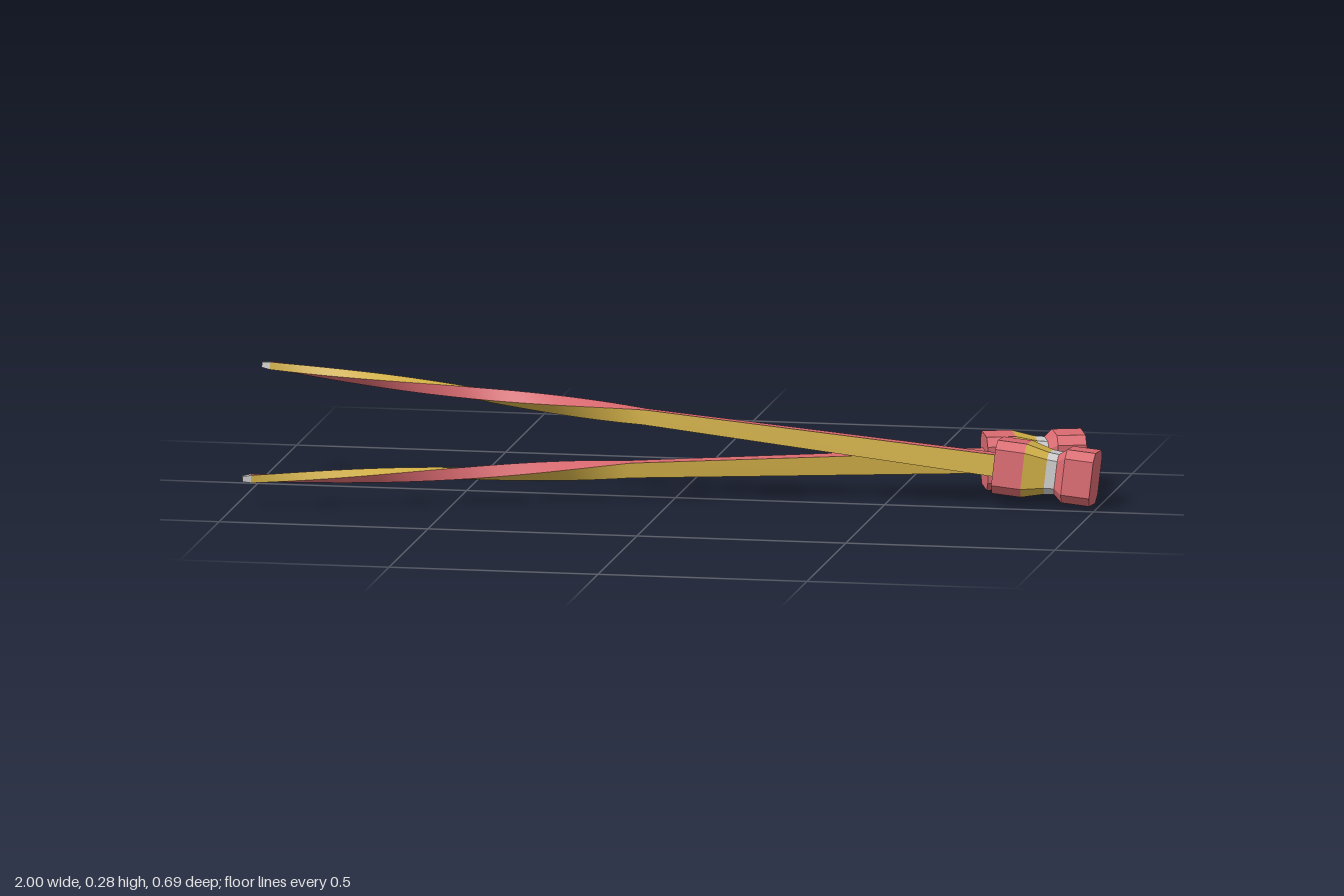
import * as THREE from 'three';
import { toCreasedNormals } from 'three/addons/utils/BufferGeometryUtils.js';

const pink = new THREE.MeshStandardMaterial({ color: 0xd96a70 });
const gold = new THREE.MeshStandardMaterial({ color: 0xd2b048 });
const grey = new THREE.MeshStandardMaterial({ color: 0xcccccc });

// Cross-sections are [y, z] corners, counter-clockwise seen from +x
const square = (h) => [[h, -h], [h, h], [-h, h], [-h, -h]];
const chamfered = (h) => {
  const c = h * 0.68;
  return [[h, -c], [h, c], [c, h], [-c, h], [-h, c], [-h, -c], [-c, -h], [c, -h]];
};

// Place a cross-section at x, turned about the stick's axis
const ring = (section, x, turn = 0) => section.map(([y, z]) => [
  x,
  y * Math.cos(turn) - z * Math.sin(turn),
  y * Math.sin(turn) + z * Math.cos(turn),
]);

// Skin consecutive rings; "sides" picks which sides to build
function loft(name, rings, material, { sides = null, startCap = false, endCap = false } = {}) {
  const pos = [];
  const n = rings[0].length;
  const tri = (a, b, c) => pos.push(...a, ...b, ...c);
  for (let i = 0; i < rings.length - 1; i++) {
    for (let j = 0; j < n; j++) {
      if (sides && !sides.includes(j)) continue;
      const k = (j + 1) % n;
      tri(rings[i][j], rings[i][k], rings[i + 1][k]);
      tri(rings[i][j], rings[i + 1][k], rings[i + 1][j]);
    }
  }
  const first = rings[0], last = rings[rings.length - 1];
  for (let j = 1; j < n - 1; j++) {
    if (startCap) tri(first[0], first[j + 1], first[j]);
    if (endCap) tri(last[0], last[j], last[j + 1]);
  }
  const geo = new THREE.BufferGeometry();
  geo.setAttribute('position', new THREE.Float32BufferAttribute(pos, 3));
  geo.computeVertexNormals();
  const mesh = new THREE.Mesh(toCreasedNormals(geo, 0.35), material);
  mesh.name = name;
  return mesh;
}

// One stick lying along +x, tip at the origin
function makeStick(name, length) {
  const stick = new THREE.Group();
  stick.name = name;

  // Tapered square shaft, twisted half a turn towards the tip
  const tipLength = 0.02, shaftEnd = length - 0.22, twistEnd = 0.92;
  const shaft = [];
  const steps = 32;
  const halfAt = (x) => THREE.MathUtils.lerp(0.009, 0.026, (x - tipLength) / (shaftEnd - tipLength));
  for (let i = 0; i <= steps; i++) {
    const x = THREE.MathUtils.lerp(tipLength, twistEnd, i / steps);
    shaft.push(ring(square(halfAt(x)), x, Math.PI * (1 - i / steps)));
  }
  shaft.push(ring(square(halfAt(shaftEnd)), shaftEnd));
  stick.add(loft('shaftTopAndBottom', shaft, pink, { sides: [0, 2] }));
  stick.add(loft('shaftSides', shaft, gold, { sides: [1, 3] }));

  // Small blunt tip
  stick.add(loft('tip', [ring(square(0.006), 0, Math.PI), shaft[0]], grey, { startCap: true }));

  // Chamfered head with a waist
  const at = (fromEnd, half) => ring(chamfered(half), length - fromEnd);
  stick.add(loft('innerBlock', [at(0.235, 0.0635), at(0.165, 0.0635)], pink, { startCap: true }));
  stick.add(loft('goldBand', [at(0.165, 0.0635), at(0.112, 0.05)], gold));
  stick.add(loft('greyBand', [at(0.112, 0.05), at(0.088, 0.048)], grey));
  stick.add(loft('endBlock', [at(0.088, 0.048), at(0.068, 0.0635), at(0, 0.0635)], pink, { endCap: true }));
  return stick;
}

// Lay a stick between two points, with a roll about its axis
function placeStick(name, tip, end, roll) {
  const from = new THREE.Vector3(...tip), to = new THREE.Vector3(...end);
  const stick = makeStick(name, from.distanceTo(to));
  const xAxis = to.sub(from).normalize();
  const zAxis = new THREE.Vector3().crossVectors(xAxis, new THREE.Vector3(0, 1, 0)).normalize();
  const yAxis = new THREE.Vector3().crossVectors(zAxis, xAxis);
  stick.quaternion.setFromRotationMatrix(new THREE.Matrix4().makeBasis(xAxis, yAxis, zAxis));
  stick.position.copy(from);
  stick.rotateX(roll);
  return stick;
}

export function createModel() {
  const model = new THREE.Group();
  model.name = 'pairOfSticks';
  model.add(placeStick('lowerStick', [-0.975, 0.075, 0.335], [0.922, 0.075, -0.287], 0));
  model.add(placeStick('upperStick', [-1, 0.276, -0.057], [0.991, 0.068, -0.074], -0.085));
  return model;
}
